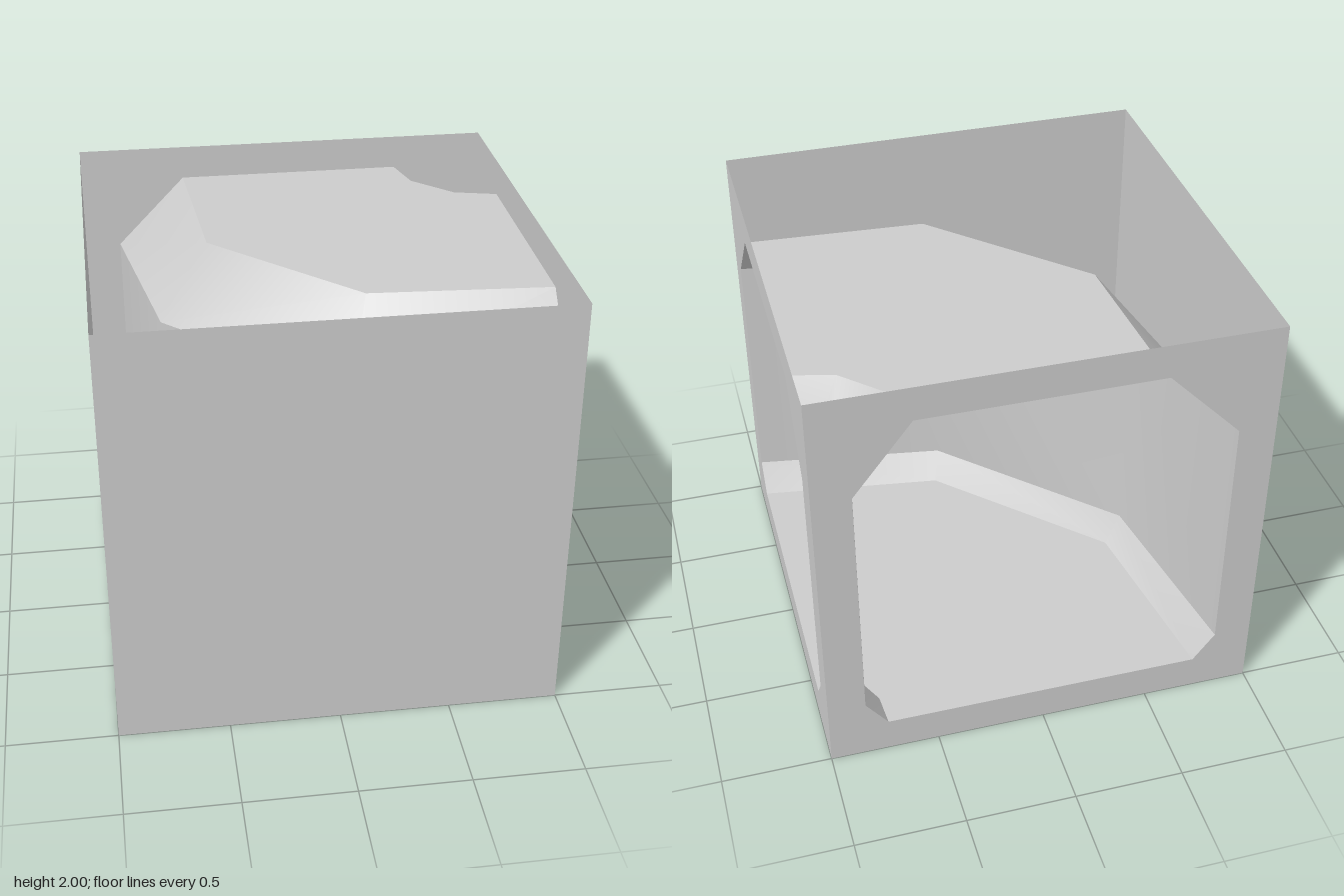
import * as THREE from 'three';

// Tunnel section, as a closed ring: offset and height at the mouth, then x and z where the path bends
const ring = [
  { m: 0.73, y: 0.165, x: 0.115, z: 0.60 },
  { m: 0.83, y: 0.30, x: 0.08, z: 0.68 },
  { m: 0.83, y: 1.50, x: 0.08, z: 0.68 },
  { m: 0.50, y: 1.84, x: 0.18, z: 0.45 },
  { m: -0.57, y: 1.84, x: 0.80, z: -0.62 },
  { m: -0.83, y: 1.50, x: 0.88, z: -0.81 },
  { m: -0.83, y: 0.30, x: 0.88, z: -0.81 },
  { m: -0.73, y: 0.165, x: 0.85, z: -0.74 },
];
const stripNames = ['outerLowerBevel', 'outerWall', 'outerUpperBevel', 'ceiling',
  'innerUpperBevel', 'innerWall', 'innerLowerBevel', 'floor'];

// One ring point followed through the corner, mirrored about the diagonal
const pathOf = ({ m, y, x, z }) => [[1, y, m], [x, y, z], [-z, y, -x], [-m, y, -1]];

// Strip between two paths: smooth along the tunnel, sharp at its sides
function strip(a, b) {
  const positions = [], index = [];
  a.forEach((p, i) => {
    positions.push(...p, ...b[i]);
    if (i < a.length - 1) {
      const k = i * 2;
      index.push(k, k + 1, k + 2, k + 1, k + 3, k + 2);
    }
  });
  const g = new THREE.BufferGeometry();
  g.setAttribute('position', new THREE.Float32BufferAttribute(positions, 3));
  g.setIndex(index);
  g.computeVertexNormals();
  return g;
}

// Square side panel, with a mouth cut out when side is 1 or -1
function panel(side) {
  const shape = new THREE.Shape([[-1, 0], [1, 0], [1, 2], [-1, 2]].map(p => new THREE.Vector2(...p)));
  if (side) shape.holes.push(new THREE.Path(ring.map(r => new THREE.Vector2(side * r.m, r.y))));
  return new THREE.ShapeGeometry(shape).translate(0, 0, 1);
}

export function createModel() {
  const model = new THREE.Group();
  model.name = 'cornerTunnelBlock';
  const material = new THREE.MeshStandardMaterial({ color: 0xcccccc, side: THREE.DoubleSide });
  const add = (parent, name, geometry) => {
    const mesh = new THREE.Mesh(geometry, material);
    mesh.name = name;
    parent.add(mesh);
  };

  // Outer shell, open at top and bottom
  add(model, 'frontPanel', panel(0));
  add(model, 'closedSidePanel', panel(0).rotateY(-Math.PI / 2));
  add(model, 'openSidePanel', panel(-1).rotateY(Math.PI / 2));
  add(model, 'openBackPanel', panel(1).rotateY(Math.PI));

  // Bent tunnel joining the two mouths
  const tunnel = new THREE.Group();
  tunnel.name = 'tunnel';
  ring.forEach((r, i) => {
    add(tunnel, stripNames[i], strip(pathOf(r), pathOf(ring[(i + 1) % ring.length])));
  });
  model.add(tunnel);
  return model;
}
